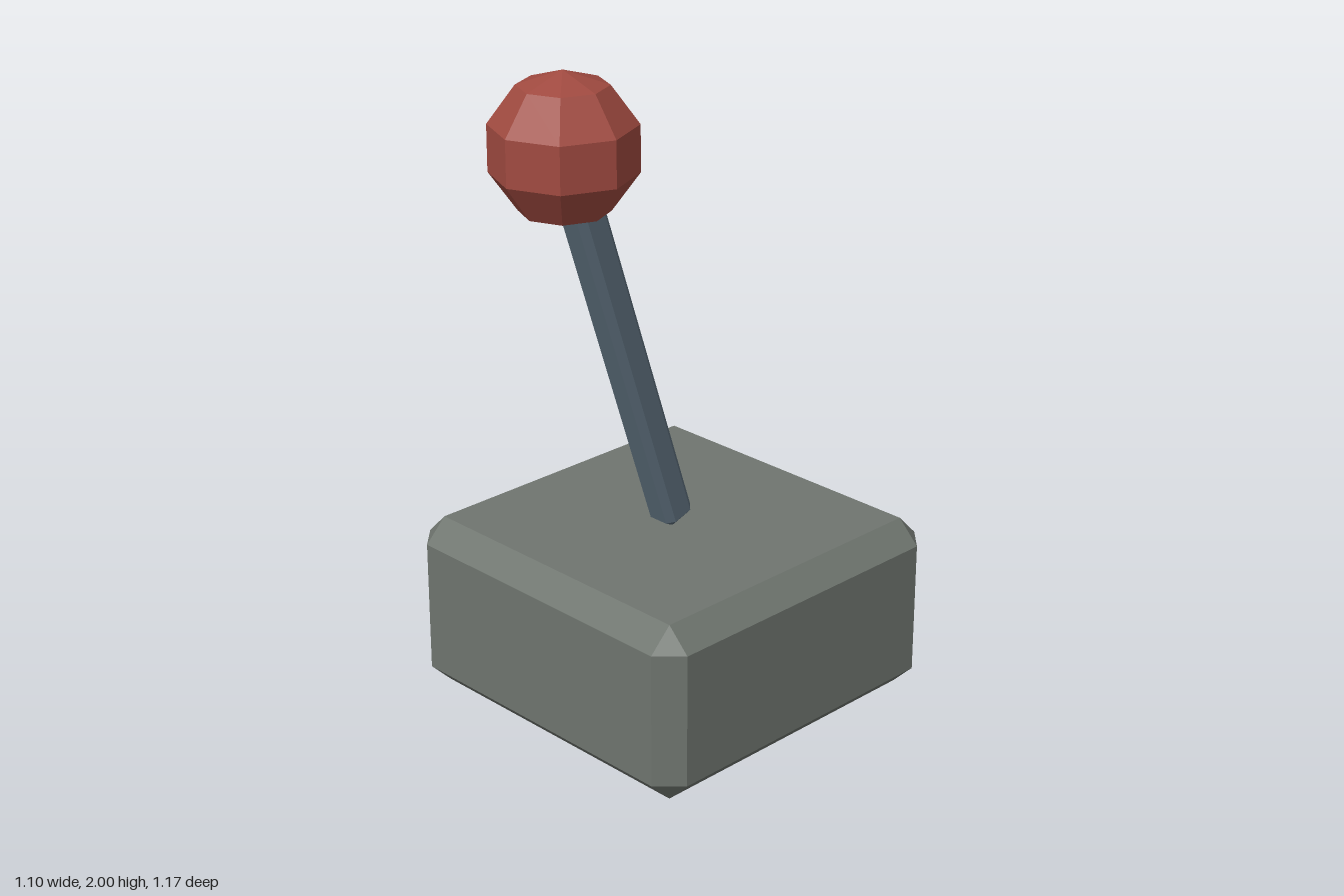
import * as THREE from 'three';
import { ConvexGeometry } from 'three/addons/geometries/ConvexGeometry.js';

const material = (color) => new THREE.MeshStandardMaterial({ color, flatShading: true });

// Box with every edge cut at 45 degrees and a triangle at each corner
function chamferedBox(width, height, depth, bevel) {
  const half = [width / 2, height / 2, depth / 2];
  const points = [];
  for (const sx of [-1, 1]) for (const sy of [-1, 1]) for (const sz of [-1, 1]) {
    for (let axis = 0; axis < 3; axis++) {
      const [x, y, z] = half.map((h, i) => (i === axis ? h : h - bevel));
      points.push(new THREE.Vector3(sx * x, sy * y, sz * z));
    }
  }
  return new ConvexGeometry(points);
}

export function createModel() {
  const model = new THREE.Group();
  model.name = 'lever';

  const baseHeight = 0.55, baseZ = -0.035;
  const knobCentre = new THREE.Vector3(0, 1.783, 0.374);

  // Base block
  const base = new THREE.Mesh(chamferedBox(1.095, baseHeight, 1.1, 0.07), material(0x6f756f));
  base.name = 'base';
  base.position.set(0, baseHeight / 2, baseZ);

  // Handle leaning forward from the middle of the base top to the knob
  const pivot = new THREE.Vector3(0, baseHeight + 0.005, baseZ);
  const lean = knobCentre.clone().sub(pivot);
  const handle = new THREE.Mesh(chamferedBox(0.107, lean.length(), 0.105, 0.021), material(0x5a6b78));
  handle.name = 'handle';
  handle.position.addVectors(pivot, knobCentre).multiplyScalar(0.5);
  handle.rotation.x = Math.atan2(lean.z, lean.y);

  // Faceted knob
  const knob = new THREE.Mesh(new THREE.SphereGeometry(0.217, 8, 5), material(0xa04a40));
  knob.name = 'knob';
  knob.position.copy(knobCentre);

  model.add(base, handle, knob);
  return model;
}
